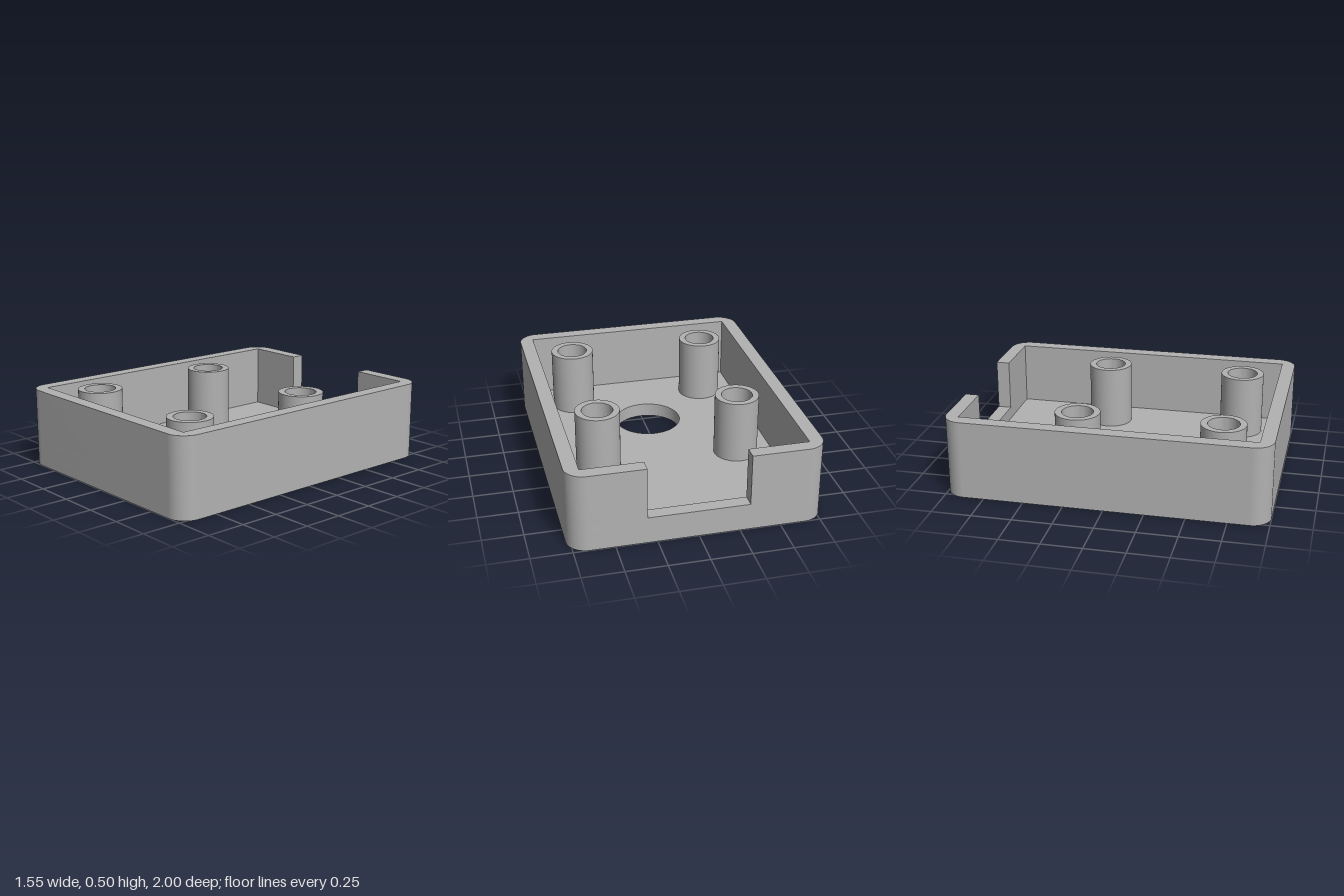
import * as THREE from 'three';
import { toCreasedNormals } from 'three/addons/utils/BufferGeometryUtils.js';

const W = 0.775, D = 1, R = 0.12;      // outer half width, half depth, corner radius
const IW = 0.686, ID = 0.914;          // inner half width, half depth
const FLOOR = 0.09, SILL = 0.17, TOP = 0.495;
const NOTCH = 0.31;                    // half width of the rear opening
const POST_X = 0.45, POST_Z = [-0.23, 0.672], POST_R = 0.14, BORE_R = 0.098;

// Shapes are drawn in plan with shape y = -z, then raised from y0 to y1.
function raise(shape, y0, y1) {
  const g = new THREE.ExtrudeGeometry(shape, { depth: y1 - y0, bevelEnabled: false, curveSegments: 32 });
  g.rotateX(-Math.PI / 2);
  g.translate(0, y0, 0);
  return toCreasedNormals(g, Math.PI / 6);
}

function circle(path, x, z, r) {
  path.absarc(x, -z, r, 0, Math.PI * 2, false);
  return path;
}

// Rounded outline running clockwise in plan from one point on the rear edge to another
function outline(startX, endX) {
  const s = new THREE.Shape();
  s.moveTo(startX, D);
  s.lineTo(W - R, D);
  s.absarc(W - R, D - R, R, Math.PI / 2, 0, true);
  s.lineTo(W, -D + R);
  s.absarc(W - R, -D + R, R, 0, -Math.PI / 2, true);
  s.lineTo(-W + R, -D);
  s.absarc(-W + R, -D + R, R, -Math.PI / 2, -Math.PI, true);
  s.lineTo(-W, D - R);
  s.absarc(-W + R, D - R, R, Math.PI, Math.PI / 2, true);
  s.lineTo(endX, D);
  return s;
}

export function createModel() {
  const group = new THREE.Group();
  const grey = new THREE.MeshStandardMaterial({ color: 0xb2b2b2 });
  grey.name = 'grey plastic';
  const add = (name, geometry) => {
    const mesh = new THREE.Mesh(geometry, grey);
    mesh.name = name;
    group.add(mesh);
    return mesh;
  };
  const posts = [];
  for (const x of [-POST_X, POST_X]) for (const z of POST_Z) posts.push([x, z]);

  // Floor with the large opening and four bores
  const floor = outline(0, 0);
  floor.holes.push(circle(new THREE.Path(), 0, 0.33, 0.215));
  for (const [x, z] of posts) floor.holes.push(circle(new THREE.Path(), x, z, BORE_R));
  add('floor', raise(floor, 0, FLOOR));

  // Closed lower wall, up to the sill of the rear opening
  const ring = outline(0, 0);
  const cavity = new THREE.Path();
  cavity.moveTo(-IW, -ID);
  cavity.lineTo(IW, -ID);
  cavity.lineTo(IW, ID);
  cavity.lineTo(-IW, ID);
  cavity.closePath();
  ring.holes.push(cavity);
  add('lowerWall', raise(ring, FLOOR, SILL));

  // Upper wall, interrupted by the rear opening
  const open = outline(NOTCH, -NOTCH);
  open.lineTo(-NOTCH, ID);
  open.lineTo(-IW, ID);
  open.lineTo(-IW, -ID);
  open.lineTo(IW, -ID);
  open.lineTo(IW, ID);
  open.lineTo(NOTCH, ID);
  open.closePath();
  add('upperWall', raise(open, SILL, TOP));

  // Hollow mounting posts
  const tube = circle(new THREE.Shape(), 0, 0, POST_R);
  tube.holes.push(circle(new THREE.Path(), 0, 0, BORE_R));
  const postGeometry = raise(tube, FLOOR, TOP);
  for (const [x, z] of posts) add('mountingPost', postGeometry).position.set(x, 0, z);

  return group;
}
